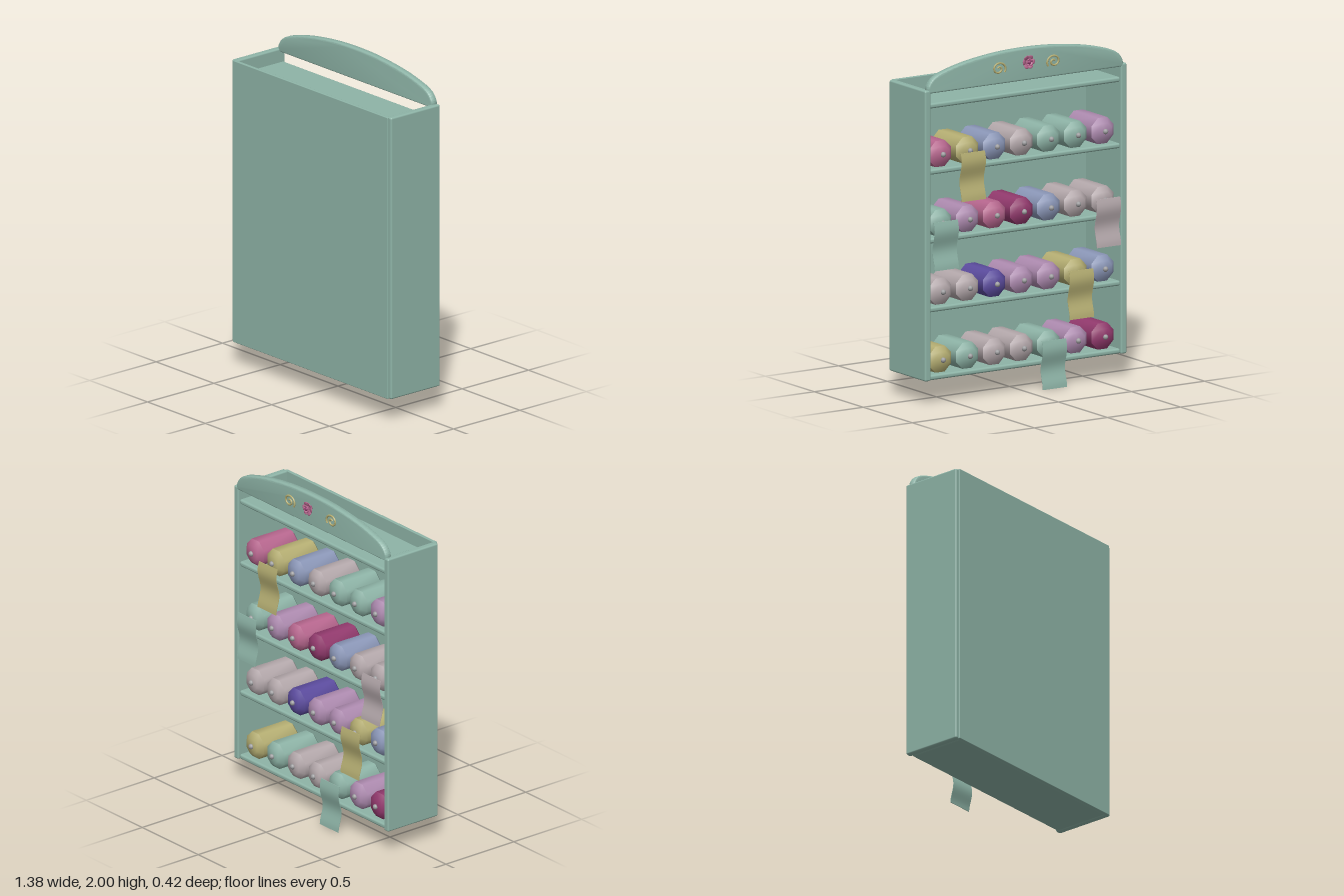
import * as THREE from 'three';
import { toCreasedNormals } from 'three/addons/utils/BufferGeometryUtils.js';
import { RoundedBoxGeometry } from 'three/addons/geometries/RoundedBoxGeometry.js';

const material = (name, color) => {
  const m = new THREE.MeshStandardMaterial({ color });
  m.name = name;
  return m;
};

export function createModel() {
  const teal = material('sage teal', 0x8eb4a7);
  const grey = material('rose grey', 0xb5a9ac);
  const pink = material('pink', 0xb8678f);
  const magenta = material('magenta', 0x933a6e);
  const mauve = material('mauve', 0xae8bb0);
  const blue = material('dusty blue', 0x8c98b9);
  const olive = material('olive', 0xb6af73);
  const purple = material('purple', 0x5c4c9f);
  const metal = material('pin grey', 0x9c9c9e);

  const model = new THREE.Group();
  const add = (name, geometry, mat, x = 0, y = 0, z = 0, parent = model) => {
    const mesh = new THREE.Mesh(geometry, mat);
    mesh.name = name;
    mesh.position.set(x, y, z);
    parent.add(mesh);
    return mesh;
  };

  // Cabinet: closed panel at +z, open compartments at -z
  add('panel', new RoundedBoxGeometry(1.34, 1.69, 0.02, 2, 0.004), teal, 0, 0.985, 0.2);
  for (const s of [-1, 1]) {
    add('sideWall', new RoundedBoxGeometry(0.04, 1.69, 0.37, 3, 0.01), teal, s * 0.67, 0.985, 0.015);
  }
  const shelfGeo = new RoundedBoxGeometry(1.31, 0.03, 0.355, 3, 0.012);
  for (const y of [0.155, 0.55, 0.95, 1.35, 1.735]) add('shelf', shelfGeo, teal, 0, y, 0.02);

  // Arched header with softly rounded edges
  const b = 0.012;
  const arch = new THREE.Shape();
  arch.moveTo(-0.655, 1.822);
  arch.lineTo(0.655, 1.822);
  arch.splineThru([[0.652, 1.85], [0.62, 1.888], [0.55, 1.918], [0.4, 1.954], [0.2, 1.98], [0, 1.988],
    [-0.2, 1.98], [-0.4, 1.954], [-0.55, 1.918], [-0.62, 1.888], [-0.652, 1.85], [-0.655, 1.822]]
    .map(([x, y]) => new THREE.Vector2(x, y)));
  const headerGeo = new THREE.ExtrudeGeometry(arch, {
    depth: 0.045 - 2 * b, bevelEnabled: true, bevelSize: b, bevelThickness: b, bevelSegments: 4, curveSegments: 40,
  });
  add('header', toCreasedNormals(headerGeo, 0.7), teal, 0, 0, -0.17 + b);

  // Flat scrolls on the header
  for (const s of [-1, 1]) {
    const pts = [];
    for (let i = 0; i <= 24; i++) {
      const t = i / 24, a = 0.6 + t * Math.PI * 3, r = 0.008 + 0.04 * t;
      pts.push(new THREE.Vector3(s * Math.cos(a) * r, Math.sin(a) * r * 0.85, 0));
    }
    const scroll = new THREE.TubeGeometry(new THREE.CatmullRomCurve3(pts), 60, 0.006, 6);
    add('scroll', scroll, olive, s * 0.188, 1.9, -0.172);
  }

  // Rosette: two rings of tilted petals round a bud
  const flower = new THREE.Group();
  flower.name = 'rosette';
  flower.position.set(0, 1.922, -0.17);
  model.add(flower);
  const petalGeo = new THREE.SphereGeometry(1, 10, 8);
  for (const [count, radius, size, z, tilt] of [[6, 0.025, 0.019, -0.02, 0.5], [5, 0.013, 0.014, -0.03, 0.9]]) {
    for (let i = 0; i < count; i++) {
      const pivot = new THREE.Group();
      pivot.rotation.z = (i / count) * Math.PI * 2;
      flower.add(pivot);
      const petal = add('petal', petalGeo, pink, radius, 0, z, pivot);
      petal.scale.set(size, size, 0.005);
      petal.rotation.y = tilt;
    }
  }
  add('bud', new THREE.SphereGeometry(0.013, 10, 8), magenta, 0, 0, -0.03, flower);
  const base = add('rosetteBase', new THREE.CylinderGeometry(0.025, 0.012, 0.02, 10), pink, 0, 0, -0.008, flower);
  base.rotation.x = -Math.PI / 2;

  // Rolls: eight-sided with chamfered ends and a pin in the front
  const profile = [[0, -0.15], [0.05, -0.15], [0.082, -0.125], [0.082, 0.12], [0.05, 0.148], [0, 0.152]];
  const rollGeo = toCreasedNormals(
    new THREE.LatheGeometry(profile.map(([r, y]) => new THREE.Vector2(r, y)), 8)
      .rotateY(Math.PI / 8).rotateX(-Math.PI / 2), 0.8);
  const pinGeo = new THREE.SphereGeometry(0.016, 10, 8);
  const rows = [
    [pink, olive, blue, grey, teal, teal, mauve],
    [teal, mauve, pink, magenta, blue, grey, grey],
    [grey, grey, purple, mauve, mauve, olive, blue],
    [olive, teal, grey, grey, teal, mauve, magenta],
  ];
  const rowY = [1.443, 1.043, 0.643, 0.248];
  const columnX = (c) => 0.555 - c * 0.185;
  rows.forEach((row, r) => row.forEach((mat, c) => {
    add('roll', rollGeo, mat, columnX(c), rowY[r], 0);
    add('pin', pinGeo, metal, columnX(c), rowY[r], -0.152);
  }));

  // Loose ends hanging in a wave in front of some rolls
  const endGeo = new THREE.BoxGeometry(0.165, 0.28, 0.003, 1, 14, 1);
  const p = endGeo.attributes.position;
  for (let i = 0; i < p.count; i++) {
    const t = 0.14 - p.getY(i);
    p.setZ(i, p.getZ(i) - 0.011 * Math.cos((t - 0.055) * Math.PI * 2 / 0.225));
  }
  endGeo.computeVertexNormals();
  for (const [r, c, top] of [[0, 1, 1.44], [1, 0, 1.06], [1, 6, 1.06], [2, 5, 0.665], [3, 4, 0.28]]) {
    add('looseEnd', endGeo, rows[r][c], columnX(c), top - 0.14, -0.177);
  }
  return model;
}
